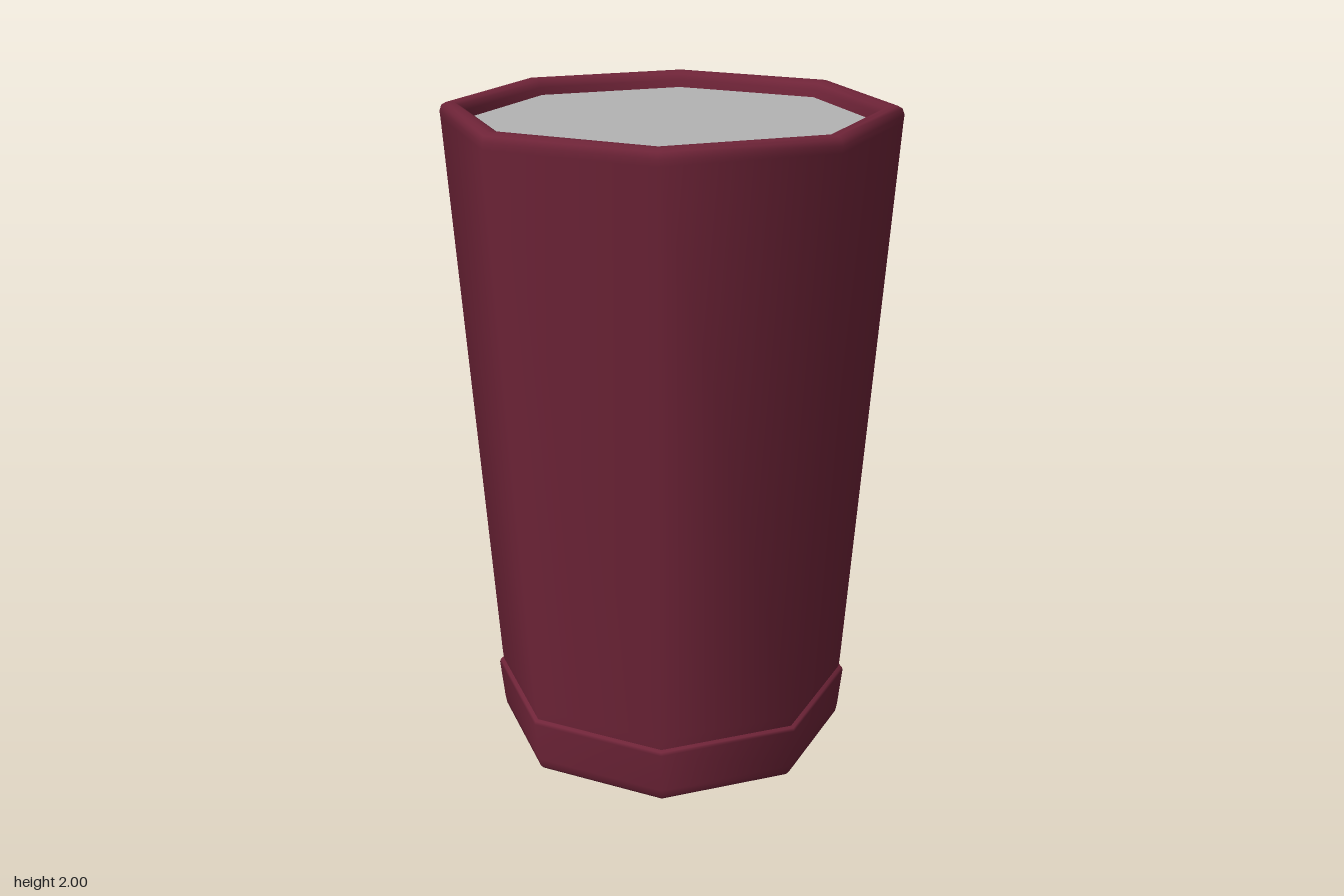
import * as THREE from 'three';

const SIDES = 8;

// Revolve a [radius, height] profile into an eight-sided, smooth-shaded part
function turned(name, profile, material) {
  const points = profile.map(([r, y]) => new THREE.Vector2(r, y));
  const mesh = new THREE.Mesh(new THREE.LatheGeometry(points, SIDES), material);
  mesh.name = name;
  return mesh;
}

export function createModel() {
  const burgundy = new THREE.MeshStandardMaterial({ color: 0x6f2438 });
  burgundy.name = 'burgundy';
  const grey = new THREE.MeshStandardMaterial({ color: 0xb4b4b4 });
  grey.name = 'pale grey';

  const cup = new THREE.Group();
  cup.name = 'cup';

  // Tapered wall, rounded lip and short inner wall
  cup.add(turned('body', [
    [0.545, 0.17], [0.55, 0.22], [0.672, 1.955], [0.674, 1.975], [0.668, 1.992], [0.655, 2],
    [0.63, 2], [0.615, 1.992], [0.606, 1.975], [0.6, 1.94],
  ], burgundy));

  // Slightly wider foot with a bevelled lower edge
  cup.add(turned('baseBand', [
    [0.515, 0.004], [0.53, 0.008], [0.541, 0.02], [0.546, 0.045],
    [0.56, 0.172], [0.557, 0.182], [0.54, 0.188],
  ], burgundy));

  // Flat underside
  cup.add(turned('underside', [[0, 0], [0.515, 0.004]], burgundy));

  // Flat surface just below the lip
  const surface = new THREE.Mesh(new THREE.CircleGeometry(0.602, SIDES), grey);
  surface.name = 'topSurface';
  surface.rotation.x = -Math.PI / 2;
  surface.position.y = 1.952;
  cup.add(surface);

  return cup;
}
